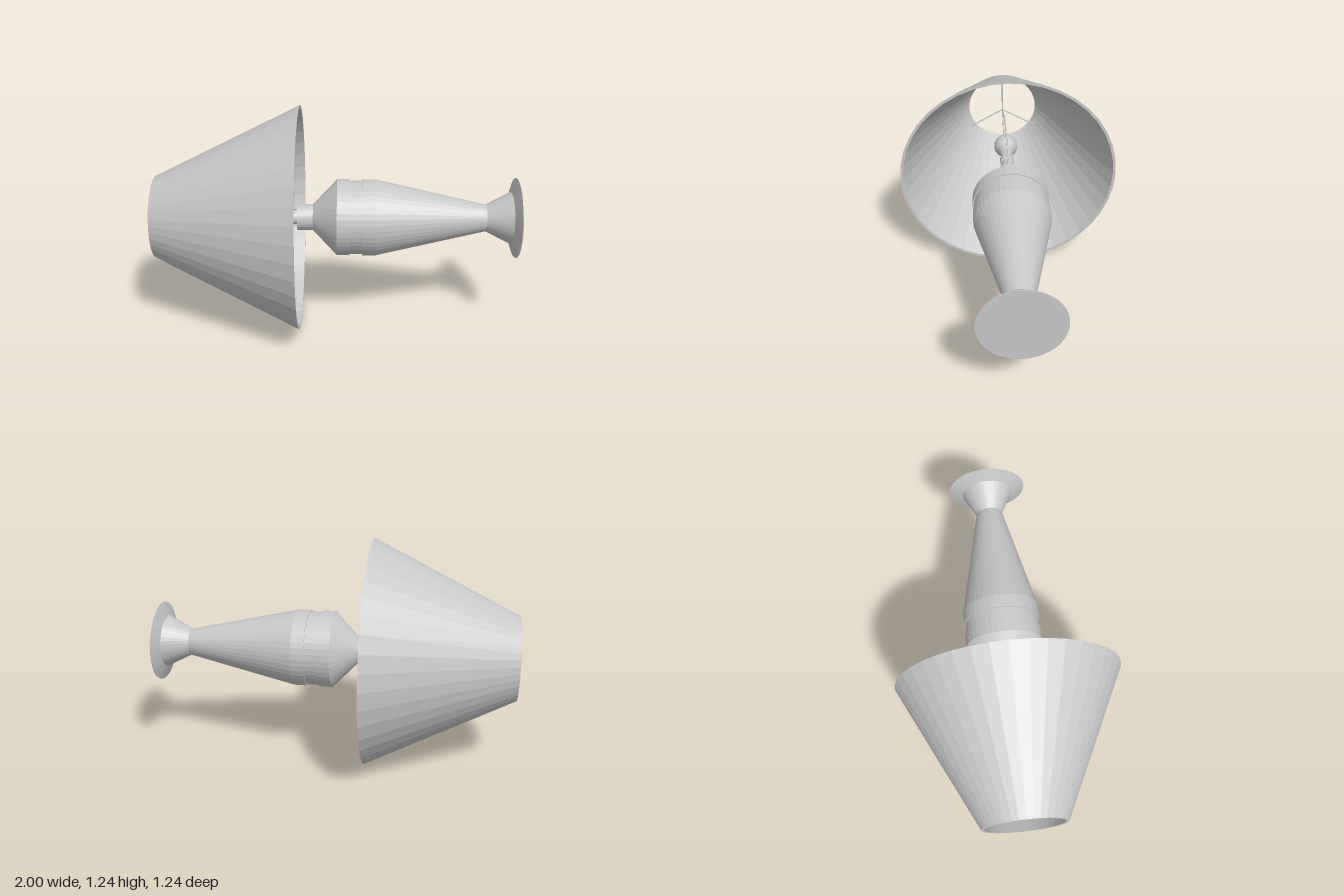
import * as THREE from 'three';

const lampGrey = new THREE.MeshStandardMaterial({ color: 0xc8c8c8 });
lampGrey.name = 'lampGrey';

function addPart(parent, name, geometry) {
  const mesh = new THREE.Mesh(geometry, lampGrey);
  mesh.name = name;
  parent.add(mesh);
  return mesh;
}

// Turned part from [radius, height] pairs, listed upward on the outside
function turned(profile, segments, faceted) {
  const geometry = new THREE.LatheGeometry(profile.map(([r, h]) => new THREE.Vector2(r, h)), segments);
  if (!faceted) return geometry;
  const flat = geometry.toNonIndexed();
  flat.computeVertexNormals();
  return flat;
}

export function createModel() {
  const model = new THREE.Group();
  model.name = 'tableLamp';

  // The lamp is built upright, then laid on its side along x
  const lamp = new THREE.Group();
  lamp.name = 'lyingLamp';
  lamp.rotation.z = Math.PI / 2;
  lamp.position.y = 0.622;
  model.add(lamp);

  // Foot, tapered body with a shallow groove, and neck
  addPart(lamp, 'body', turned([
    [0, -1], [0.222, -1], [0.222, -0.996], [0.145, -0.968], [0.075, -0.83],
    [0.212, -0.217], [0.212, -0.145], [0.205, -0.145], [0.205, -0.075],
    [0.212, -0.075], [0.212, -0.005], [0.073, 0.128], [0.073, 0.215], [0, 0.215],
  ], 40, true));

  // Socket
  addPart(lamp, 'socket', turned([
    [0.04, 0.21], [0.04, 0.29], [0.03, 0.295], [0.03, 0.34],
    [0.042, 0.345], [0.042, 0.375], [0, 0.375],
  ], 24, true));

  // Bulb
  const bulb = [[0.028, 0.37], [0.03, 0.41], [0.042, 0.45]];
  for (let i = 0; i <= 12; i++) {
    const a = -0.85 + (Math.PI / 2 + 0.85) * i / 12;
    bulb.push([Math.max(0, 0.07 * Math.cos(a)), 0.525 + 0.07 * Math.sin(a)]);
  }
  addPart(lamp, 'bulb', turned(bulb, 24, false));

  // Wire harp around the bulb
  for (const side of [-1, 1]) {
    const path = new THREE.CatmullRomCurve3([
      [0.05, 0.2], [0.045, 0.27], [0.06, 0.34], [0.108, 0.42],
      [0.122, 0.54], [0.1, 0.68], [0.05, 0.82], [0, 0.96],
    ].map(([r, h]) => new THREE.Vector3(side * r, h, 0)));
    addPart(lamp, 'harpWire', new THREE.TubeGeometry(path, 40, 0.004, 6));
  }

  // Three spokes holding the shade
  for (let i = 0; i < 3; i++) {
    const a = i * Math.PI * 2 / 3;
    const spoke = new THREE.LineCurve3(
      new THREE.Vector3(0, 0.96, 0),
      new THREE.Vector3(0.237 * Math.cos(a), 0.96, 0.237 * Math.sin(a)));
    addPart(lamp, 'shadeSpoke', new THREE.TubeGeometry(spoke, 1, 0.004, 6));
  }

  // Open conical shade with a thin wall
  addPart(lamp, 'shade', turned([
    [0.606, 0.2], [0.622, 0.2], [0.23, 1], [0.214, 1], [0.606, 0.2],
  ], 40, true));

  return model;
}
